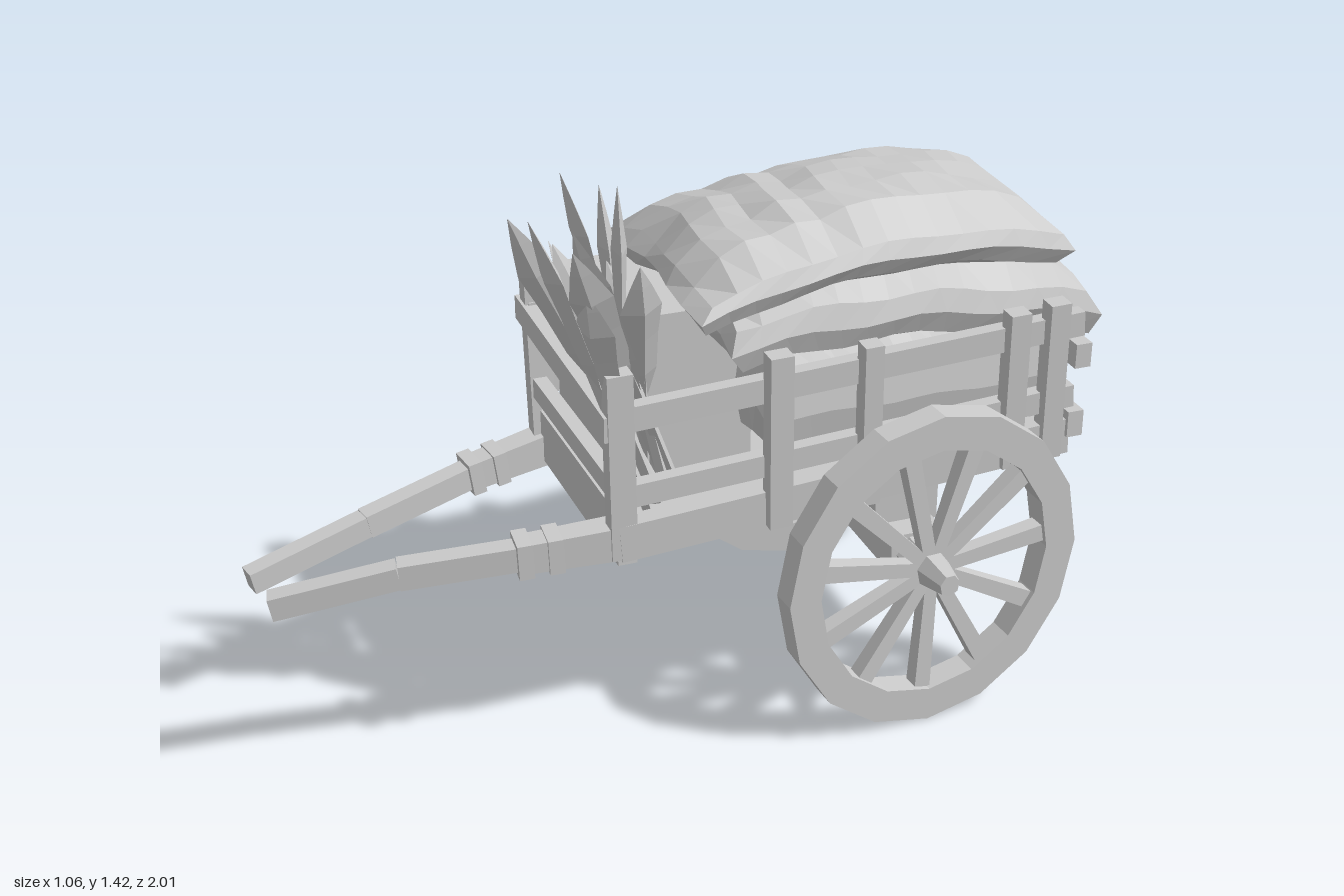
import * as THREE from 'three';

const mat = new THREE.MeshStandardMaterial({ color: 0xcccccc, flatShading: true, side: THREE.DoubleSide });
const V = (x, y, z) => new THREE.Vector3(x, y, z);

function add(parent, name, geo, x = 0, y = 0, z = 0) {
  const m = new THREE.Mesh(geo, mat);
  m.name = name;
  m.position.set(x, y, z);
  parent.add(m);
  return m;
}

// Squared beam between two points, optionally tapered towards b
function beam(parent, name, a, b, w, h, taper = 1) {
  const geo = new THREE.BoxGeometry(w, h, a.distanceTo(b));
  const p = geo.attributes.position;
  for (let i = 0; i < p.count; i++) {
    if (p.getZ(i) > 0) p.setXY(i, p.getX(i) * taper, p.getY(i) * taper);
  }
  geo.computeVertexNormals();
  const m = new THREE.Mesh(geo, mat);
  m.name = name;
  m.position.copy(a).lerp(b, 0.5);
  // Upright beams keep their faces square to the cart
  if (Math.abs(b.y - a.y) > 0.9 * a.distanceTo(b)) m.up.set(0, 0, 1);
  m.lookAt(b);
  parent.add(m);
  return m;
}

// Spoked wheel; its outer side faces local +z
function wheel(name) {
  const g = new THREE.Group();
  g.name = name;
  const ring = (r, n) => Array.from({ length: n }, (_, i) => {
    const a = i / n * Math.PI * 2;
    return new THREE.Vector2(Math.cos(a) * r, Math.sin(a) * r);
  });
  const shape = new THREE.Shape(ring(0.405, 16));
  shape.holes.push(new THREE.Path(ring(0.32, 16)));
  const rim = new THREE.ExtrudeGeometry(shape, { depth: 0.066, bevelEnabled: false });
  add(g, 'rim', rim.translate(0, 0, -0.033));
  for (let i = 0; i < 11; i++) {
    const a = i / 11 * Math.PI * 2 + 0.1;
    const d = V(Math.cos(a), Math.sin(a), 0);
    const spoke = beam(g, 'spoke', V(0, 0, 0), V(0, 0, 0.33), 0.034, 0.032, 1.3);
    spoke.position.copy(d).multiplyScalar(0.175);
    spoke.up.set(0, 0, 1);
    spoke.lookAt(d.multiplyScalar(0.4));
  }
  const hub = new THREE.CylinderGeometry(0.028, 0.062, 0.15, 7).rotateX(Math.PI / 2);
  add(g, 'hub', hub, 0, 0, 0.02);
  return g;
}

// Stuffed sack: a box bulged in the middle, with blunt edges, waisted sides and fold lines
function sack(parent, name, { w, l, t, y, z, edge, centreLine, pinch = 0, fold = 0, seed }) {
  const geo = new THREE.BoxGeometry(2, 2, 2, 7, 2, 14);
  const p = geo.attributes.position;
  for (let i = 0; i < p.count; i++) {
    const a = p.getX(i), s = p.getY(i), b = p.getZ(i);
    const bulge = edge + (1 - edge) * Math.sqrt((1 - a ** 4) * (1 - b ** 4));
    const rim = s === 0 ? 1.02 : 0.96;
    const side = rim - pinch * (a < 0 ? 1.6 : 0.6) * (1 - b * b);
    const row = Math.round((b + 1) * 7);
    const crease = s > 0 && (row === 9 || row === 11) ? fold * (1 - a ** 4) : 0;
    const lump = 0.008 * Math.sin(a * 7 + seed) * Math.sin(b * 9 + seed * 2 + s);
    p.setXYZ(i,
      a * side * w,
      y + centreLine(a, b) + s * t * bulge + lump - crease,
      z + b * rim * l + 0.01 * Math.sin(a * 5 + seed + s));
  }
  geo.computeVertexNormals();
  return add(parent, name, geo);
}

// Feathered stick: thin shaft with a four-sided leaf blade along the upper half
function arrow(parent, base, tip, r, twist) {
  const g = new THREE.Group();
  g.name = 'arrow';
  const len = base.distanceTo(tip);
  add(g, 'shaft', new THREE.CylinderGeometry(0.012, 0.014, len * 0.75, 4), 0, len * 0.37, 0);
  const profile = [[0.008, 0.4], [0.7 * r, 0.54], [0.8 * r, 0.7], [r, 0.82], [0.5 * r, 0.92], [0.001, 1]]
    .map(([x, h]) => new THREE.Vector2(x, h * len));
  const blade = add(g, 'feather', new THREE.LatheGeometry(profile, 4));
  blade.scale.z = 0.45;
  blade.rotation.y = twist;
  g.position.copy(base);
  g.quaternion.setFromUnitVectors(V(0, 1, 0), tip.clone().sub(base).normalize());
  parent.add(g);
}

export function createModel() {
  const model = new THREE.Group();
  model.name = 'loadedHandcart';

  // The cart stands at an angle; its axle centre is the origin of this group
  const cart = new THREE.Group();
  cart.name = 'cart';
  cart.position.set(0.02, 0, -0.49);
  cart.rotation.y = -0.27;
  model.add(cart);

  // Wheels and axle
  for (const s of [1, -1]) {
    const w = wheel(s > 0 ? 'leftWheel' : 'rightWheel');
    w.position.set(s * 0.418, 0.405, 0);
    w.rotation.y = s * Math.PI / 2 + (s > 0 ? 0.07 : -0.02);
    w.scale.x = 0.93;
    cart.add(w);
  }
  add(cart, 'axleBeam', new THREE.BoxGeometry(0.7, 0.1, 0.13), 0, 0.41, 0);
  for (const s of [1, -1]) add(cart, 'axleBlock', new THREE.BoxGeometry(0.07, 0.14, 0.16), s * 0.25, 0.52, 0);

  // Bed: it rises towards the back
  const bedY = z => 0.615 - 0.085 * (z + 0.37) / 1.08;
  beam(cart, 'floor', V(0, bedY(-0.36), -0.36), V(0, bedY(0.7), 0.7), 0.6, 0.045);
  add(cart, 'frontBoard', new THREE.BoxGeometry(0.62, 0.13, 0.045), 0, 0.55, 0.7).rotation.z = 0.04;

  // Side posts and rails
  for (const s of [1, -1]) {
    beam(cart, 'sill', V(s * 0.325, bedY(-0.38) + 0.03, -0.38), V(s * 0.305, bedY(0.72) + 0.03, 0.72), 0.05, 0.09);
    const posts = [[0.71, 0.98, 0.06], [0.35, 0.98, 0.055], [0.13, 0.97, 0.045], [-0.23, 0.99, 0.05], [-0.33, 1.0, 0.05]];
    for (const [z, top, w] of posts) {
      const x = s * (z > 0.5 ? 0.305 : 0.34);
      beam(cart, 'sidePost', V(x, bedY(z) - 0.01, z), V(x + s * 0.012, top, z + 0.01), 0.045, w);
    }
    beam(cart, 'topSideRail', V(s * 0.33, 0.93, -0.4), V(s * 0.305, 0.86, 0.74), 0.035, 0.06);
    beam(cart, 'lowerSideRail', V(s * 0.325, 0.745, -0.39), V(s * 0.305, 0.67, 0.73), 0.035, 0.055);
  }

  // Front and back rails
  beam(cart, 'topFrontRail', V(-0.36, 0.855, 0.735), V(0.33, 0.85, 0.735), 0.04, 0.06);
  beam(cart, 'lowerFrontRail', V(-0.31, 0.665, 0.72), V(0.31, 0.69, 0.72), 0.035, 0.05);
  beam(cart, 'topBackRail', V(-0.37, 0.86, -0.39), V(0.37, 0.86, -0.39), 0.04, 0.06);
  beam(cart, 'lowerBackRail', V(-0.36, 0.67, -0.39), V(0.36, 0.68, -0.39), 0.04, 0.065);

  // Pull shafts with lashings, bent at the joint
  const shafts = [
    ['leftShaft', [V(0.13, 0.56, 0.22), V(0.04, 0.55, 0.47), V(-0.08, 0.53, 0.73), V(-0.2, 0.48, 0.985)]],
    ['rightShaft', [V(-0.45, 0.51, 0.05), V(-0.48, 0.475, 0.3), V(-0.495, 0.42, 0.6), V(-0.51, 0.36, 0.9)]],
  ];
  for (const [name, pts] of shafts) {
    const g = new THREE.Group();
    g.name = name;
    beam(g, 'shaftRoot', pts[0], pts[1], 0.07, 0.085, 0.85);
    beam(g, 'shaftMiddle', pts[1], pts[2], 0.05, 0.06);
    beam(g, 'shaftHandle', pts[2], pts[3], 0.048, 0.055);
    for (const k of [0.72, 0.98]) {
      const a = pts[0].clone().lerp(pts[1], k);
      beam(g, 'lashing', a, pts[0].clone().lerp(pts[1], k + 0.13), 0.08, 0.085);
    }
    model.add(g);
  }

  // Cargo inside the bed
  add(cart, 'chest', new THREE.BoxGeometry(0.36, 0.4, 0.36), -0.11, 0.77, 0.49);
  add(cart, 'chestLid', new THREE.BoxGeometry(0.38, 0.03, 0.38), -0.11, 0.97, 0.49);
  sack(cart, 'bedSack', {
    w: 0.3, l: 0.36, t: 0.16, y: 0.79, z: -0.01, edge: 0.7, seed: 3, centreLine: () => 0,
  });

  // Two sacks piled on top, sagging over the load
  sack(cart, 'lowerSack', {
    w: 0.31, l: 0.45, t: 0.1, y: 1.01, z: 0.0, edge: 0.5, pinch: 0.08, seed: 1,
    centreLine: (a, b) => -0.02 * a * a - 0.035 * b * b + 0.02 * b,
  });
  sack(cart, 'upperSack', {
    w: 0.33, l: 0.44, t: 0.1, y: 1.155, z: 0.09, edge: 0.35, pinch: 0.14, fold: 0.015, seed: 5,
    centreLine: (a, b) => -0.04 * a * a - 0.05 * b * b + 0.025 * a - 0.025 * b,
  });

  // Bundle of feathered sticks in the front corner
  const bundle = new THREE.Group();
  bundle.name = 'arrowBundle';
  const tips = [
    [-0.02, 1.39, 0.32], [0.03, 1.34, 0.48], [0.07, 1.28, 0.4], [0.18, 1.42, 0.31], [0.15, 1.33, 0.4],
    [0.2, 1.24, 0.27], [-0.01, 1.25, 0.36], [0.11, 1.36, 0.48], [0.18, 1.3, 0.42], [0.09, 1.22, 0.28],
    [0.02, 1.36, 0.25], [0.16, 1.2, 0.38],
  ];
  tips.forEach(([x, y, z], i) => {
    const base = V(-0.03 + (i * 5 % 12) * 0.011, 0.6, 0.08 + (i % 4) * 0.035);
    arrow(bundle, base, V(x, y, z), 0.038 + (i % 3) * 0.005, i * 0.9);
  });
  model.add(bundle);

  return model;
}
